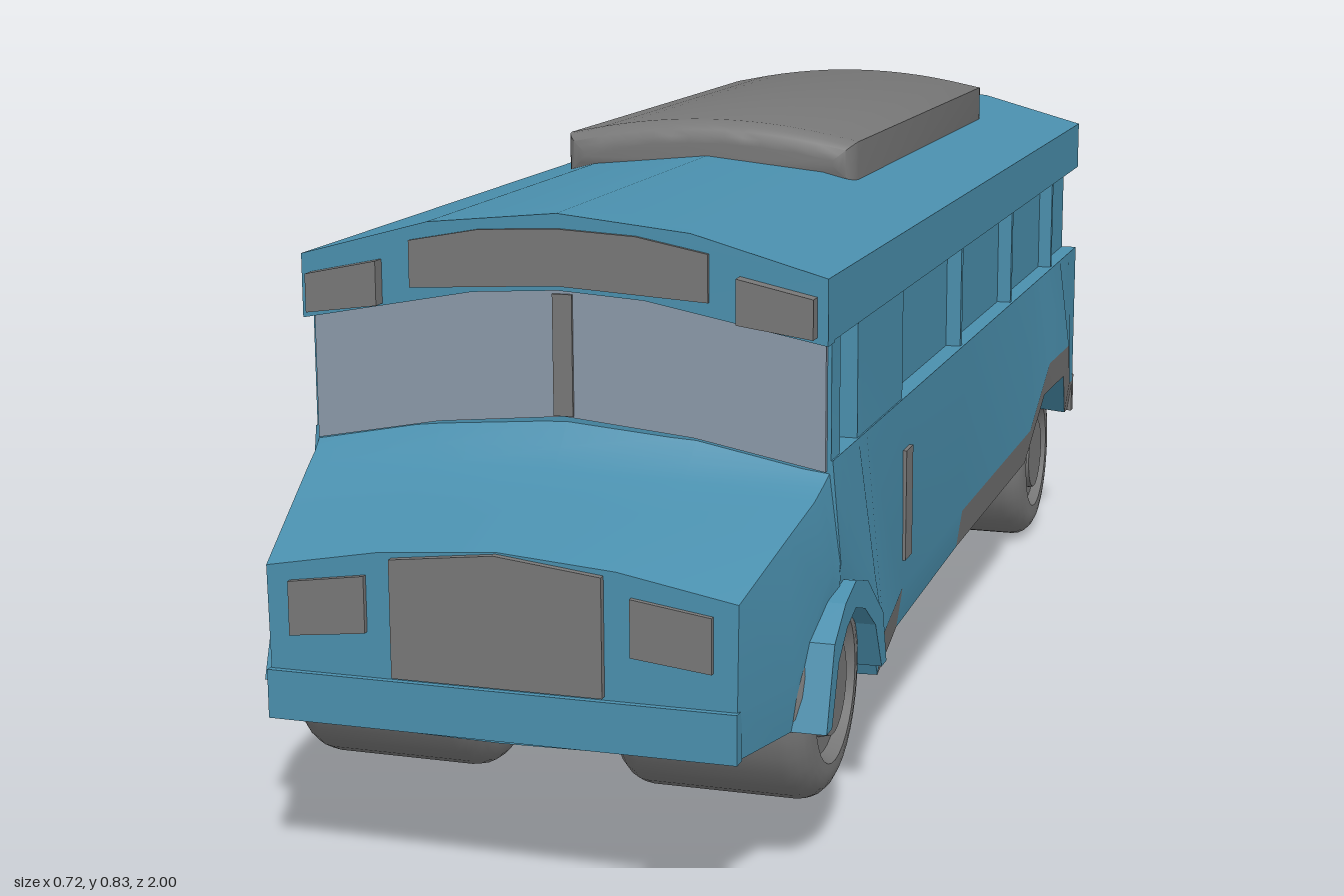
import * as THREE from 'three';
import { toCreasedNormals } from 'three/addons/utils/BufferGeometryUtils.js';

const mat = (name, color) => {
  const m = new THREE.MeshStandardMaterial({ color });
  m.name = name;
  return m;
};

export function createModel() {
  const bus = new THREE.Group();
  bus.name = 'bus';
  const blue = mat('bodyBlue', 0x4a8fad);
  const grey = mat('trimGrey', 0x777777);
  const glass = mat('glass', 0x8a98a8);
  const red = mat('lampRed', 0xa83422);

  const add = (name, geo, material, x = 0, y = 0, z = 0) => {
    const m = new THREE.Mesh(geo, material);
    m.name = name;
    m.position.set(x, y, z);
    bus.add(m);
    return m;
  };
  const box = (name, material, w, h, d, x, y, z) =>
    add(name, new THREE.BoxGeometry(w, h, d), material, x, y, z);
  const shapeOf = pts => new THREE.Shape(pts.map(p => new THREE.Vector2(...p)));
  const plate = (name, material, pts, z, depth) =>
    add(name, new THREE.ExtrudeGeometry(shapeOf(pts), { depth, bevelEnabled: false }), material, 0, 0, z);

  // Joins mirrored half sections along z; pick(i, k, side) chooses the material of each strip
  function loft(name, sections, pick) {
    const rings = sections.map(({ z, half }) =>
      [...half, ...half.slice(1, -1).reverse().map(([x, y]) => [-x, y])]
        .map(([x, y]) => new THREE.Vector3(x, y, z)));
    const n = rings[0].length, buckets = new Map();
    const tri = (m, ...vs) => {
      if (!buckets.has(m)) buckets.set(m, []);
      vs.forEach(v => buckets.get(m).push(v.x, v.y, v.z));
    };
    for (let i = 0; i < rings.length - 1; i++) {
      for (let j = 0; j < n; j++) {
        const left = j < n / 2;
        const m = pick(i, left ? j : n - 1 - j, left ? 1 : -1);
        const a = rings[i][j], b = rings[i][(j + 1) % n];
        const c = rings[i + 1][(j + 1) % n], d = rings[i + 1][j];
        tri(m, a, b, c);
        tri(m, a, c, d);
      }
    }
    for (const [ring, flip] of [[rings[0], true], [rings[rings.length - 1], false]]) {
      const flat = ring.map(v => new THREE.Vector2(v.x, v.y));
      for (const [a, b, c] of THREE.ShapeUtils.triangulateShape(flat, []))
        flip ? tri(blue, ring[a], ring[c], ring[b]) : tri(blue, ring[a], ring[b], ring[c]);
    }
    for (const [m, pos] of buckets) {
      const g = new THREE.BufferGeometry();
      g.setAttribute('position', new THREE.Float32BufferAttribute(pos, 3));
      add(name + (m === blue ? '' : m === glass ? 'Windows' : 'Skirt'), toCreasedNormals(g, 0.5), m);
    }
  }

  // Main body: z, floor height, skirt bottom, flare half width, window recess on/off
  const W = 0.335;
  const body = [
    [-0.96, 0.24, 0.2, 0.335, 1], [-0.89, 0.24, 0.21, 0.342, 1], [-0.8, 0.25, 0.295, 0.354, 1],
    [-0.635, 0.25, 0.295, 0.35, 1], [-0.53, 0.19, 0.2, 0.338, 1], [0, 0.185, 0.195, 0.335, 1],
    [0.39, 0.18, 0.187, 0.337, 1], [0.39, 0.18, 0.187, 0.337, 0], [0.59, 0.172, 0.185, 0.36, 0],
    [0.63, 0.175, 0.27, 0.358, 0], [0.63, 0.175, 0.27, 0.358, 1], [0.715, 0.18, 0.32, 0.35, 1],
    [0.715, 0.18, 0.32, 0.35, 0], [0.755, 0.18, 0.32, 0.346, 0],
  ];
  loft('body', body.map(([z, f, b, x, recess]) => {
    const r = recess ? 0.31 : W - 0.002;
    return { z, half: [[0, f], [x - 0.008, b], [x, b + 0.055], [W, 0.5], [r, 0.5],
      [r, 0.645], [W, 0.645], [W, 0.722], [W / 2, 0.768], [0, 0.785]] };
  }), (i, k, side) => {
    if (k === 1 && i < 9 && (side < 0 || i < 5 || i === 7)) return grey;
    if (k === 4 && (i === 10 || (i < 6 && side < 0))) return glass;
    return blue;
  });

  // Hood: z, floor, bottom, flare, shoulder x, shoulder y, crown y
  const hood = [
    [0.75, 0.18, 0.32, 0.346, 0.332, 0.487, 0.533], [0.775, 0.18, 0.32, 0.342, 0.328, 0.472, 0.5],
    [0.8, 0.185, 0.3, 0.338, 0.325, 0.46, 0.478], [0.87, 0.19, 0.2, 0.322, 0.312, 0.433, 0.456],
    [0.99, 0.195, 0.2, 0.288, 0.29, 0.386, 0.424],
  ];
  loft('hood', hood.map(([z, f, b, x, sx, sy, c]) => ({ z, half: [[0, f], [x - 0.005, b],
    [x, b + 0.055], [sx, sy], [sx / 2, sy + (c - sy) * 0.7], [0, c]] })), () => blue);
  box('frontBumper', blue, 0.58, 0.06, 0.02, 0, 0.23, 0.988);

  // Windscreen and the visor above it
  plate('windscreen', glass, [[-0.328, 0.487], [-0.165, 0.518], [0, 0.534], [0.165, 0.518], [0.328, 0.487],
    [0.328, 0.645], [0.11, 0.688], [0, 0.694], [-0.11, 0.688], [-0.328, 0.645]], 0.754, 0.008);
  box('windscreenBar', grey, 0.025, 0.15, 0.008, 0, 0.61, 0.762);
  plate('visor', blue, [[-W, 0.642], [-0.11, 0.685], [0, 0.692], [0.11, 0.685], [W, 0.642],
    [W, 0.722], [W / 2, 0.768], [0, 0.785], [-W / 2, 0.768], [-W, 0.722]], 0.75, 0.03);
  plate('signPanel', grey, [[-0.19, 0.687], [0, 0.698], [0.19, 0.687], [0.19, 0.745],
    [0.1, 0.762], [0, 0.767], [-0.1, 0.762], [-0.19, 0.745]], 0.778, 0.007);

  // Grille
  plate('grille', grey, [[-0.13, 0.264], [0.13, 0.264], [0.13, 0.407], [0, 0.422], [-0.13, 0.407]], 0.99, 0.009);

  // Wheel with rounded tread and a sunken ring around the hub
  function wheel(name, R, width, x, y, z) {
    const h = width / 2, e = 0.035, pts = [[0, -h], [R * 0.7, -h]];
    const round = (sy, from, to) => {
      for (let i = 0; i <= 5; i++) {
        const a = from + (to - from) * i / 5;
        pts.push([R - e + e * Math.cos(a), sy * (h - e) + e * Math.sin(a)]);
      }
    };
    round(-1, -Math.PI / 2, 0);
    round(1, 0, Math.PI / 2);
    pts.push([0.094, h], [0.084, h - 0.015], [0.063, h - 0.015], [0.06, h - 0.002], [0, h - 0.002]);
    const g = new THREE.LatheGeometry(pts.map(p => new THREE.Vector2(...p)), 32);
    add(name, toCreasedNormals(g, 0.6), grey, x, y, z).rotation.z = -Math.sign(x) * Math.PI / 2;
  }

  // Front wheel arch, drawn in the side plane (z, y) and extruded across
  const arch = shapeOf([[0.87, 0.2], [0.835, 0.3], [0.785, 0.335], [0.735, 0.35], [0.675, 0.333],
    [0.595, 0.27], [0.575, 0.2], [0.6, 0.2], [0.635, 0.265], [0.69, 0.302], [0.735, 0.316],
    [0.775, 0.304], [0.815, 0.272], [0.845, 0.2]]);

  for (const s of [-1, 1]) {
    const side = s > 0 ? 'left' : 'right';
    wheel(side + 'FrontWheel', 0.139, 0.25, s * 0.21, 0.214, 0.733);
    wheel(side + 'RearWheel', 0.146, 0.16, s * 0.215, 0.146, -0.83);
    const fender = add(side + 'Fender',
      new THREE.ExtrudeGeometry(arch, { depth: 0.05, bevelEnabled: false }), blue, s > 0 ? 0.36 : -0.31);
    fender.rotation.y = -Math.PI / 2;

    plate(side + 'Headlight', grey, [[s * 0.163, 0.315], [s * 0.26, 0.304], [s * 0.26, 0.37], [s * 0.163, 0.384]],
      0.99, 0.007);
    plate(side + 'MarkerLamp', grey, [[s * 0.228, 0.665], [s * 0.322, 0.652], [s * 0.322, 0.7], [s * 0.228, 0.72]],
      0.775, 0.024);
    // Window pillars and stacked tail lamps
    for (const z of [0.01, -0.37, -0.73]) box(side + 'Pillar', blue, 0.022, 0.148, 0.012, s * 0.32, 0.5725, z);
    for (const y of [0.31, 0.37])
      add(side + 'TailLamp', new THREE.CylinderGeometry(0.023, 0.023, 0.025, 16), red, s * 0.217, y, -0.971)
        .rotation.x = Math.PI / 2;
  }

  // Side vent and window edge trim
  box('sideVent', grey, 0.008, 0.15, 0.038, 0.3365, 0.355, 0.372);
  box('windowEdge', grey, 0.006, 0.14, 0.014, 0.312, 0.5725, 0.365);

  // Rear end
  const rearWindow = shapeOf([[-0.18, 0.51], [0.18, 0.51], [0.18, 0.69], [-0.18, 0.69]]);
  add('rearWindow', new THREE.ExtrudeGeometry(rearWindow,
    { depth: 0.004, bevelThickness: 0.004, bevelSize: 0.015, bevelSegments: 3 }), glass, 0, 0, -0.967);
  box('rearBumper', grey, 0.67, 0.065, 0.016, 0, 0.232, -0.964);
  box('rearPlate', grey, 0.21, 0.075, 0.006, 0, 0.305, -0.961);
  add('exhaust', new THREE.CylinderGeometry(0.011, 0.011, 0.14, 12), grey, -0.11, 0.187, -0.92).rotation.x = Math.PI / 2;
  add('exhaustTip', new THREE.CylinderGeometry(0.018, 0.018, 0.024, 16), grey, -0.11, 0.187, -0.988).rotation.x = Math.PI / 2;

  // Roof pack, bowed to follow the roof and rounded all round
  const pack = new THREE.Shape();
  pack.moveTo(-0.182, 0.778);
  pack.lineTo(0.182, 0.778);
  pack.lineTo(0.182, 0.784);
  pack.quadraticCurveTo(0, 0.823, -0.182, 0.784);
  const packGeo = new THREE.ExtrudeGeometry(pack,
    { depth: 0.83, bevelThickness: 0.03, bevelSize: 0.03, bevelSegments: 5, curveSegments: 14 });
  add('roofPack', toCreasedNormals(packGeo, 0.7), grey, 0, 0, -0.675);

  return bus;
}
